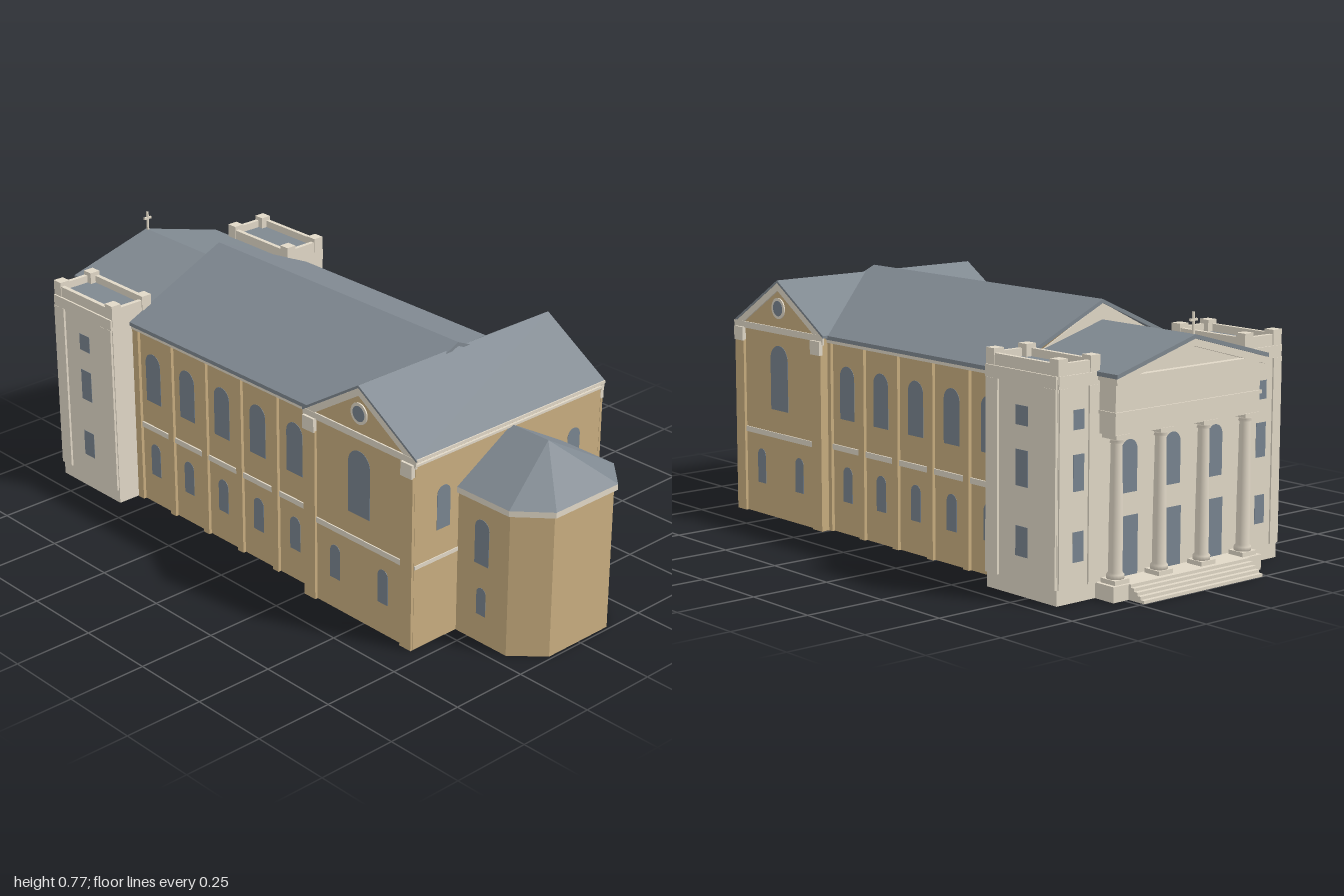
import * as THREE from 'three';
import { ConvexGeometry } from 'three/addons/geometries/ConvexGeometry.js';

export function createModel() {
  const root = new THREE.Group();
  root.name = 'church';
  // Walls are open shells without floors, so both sides show
  const mat = (name, color) => {
    const m = new THREE.MeshStandardMaterial({ color, side: THREE.DoubleSide });
    m.name = name;
    return m;
  };
  const brick = mat('ochre wall', 0xc8ad7f);
  const stone = mat('pale stone', 0xe1d8c7);
  const slate = mat('slate roof', 0x7f8890);
  const glass = mat('window glass', 0x78848f);

  const add = (name, geo, m) => {
    const mesh = new THREE.Mesh(geo, m);
    mesh.name = name;
    root.add(mesh);
    return mesh;
  };
  // Box given by its limits on each axis
  const box = (name, m, x0, x1, y0, y1, z0, z1) => {
    const g = new THREE.BoxGeometry(x1 - x0, y1 - y0, Math.abs(z1 - z0));
    g.translate((x0 + x1) / 2, (y0 + y1) / 2, (z0 + z1) / 2);
    return add(name, g, m);
  };
  // Upright walls around a plan of [x, z] corners, open above and below
  const shell = (name, m, plan, h) => {
    const v = [];
    plan.forEach(([ax, az], i) => {
      const [bx, bz] = plan[(i + 1) % plan.length];
      v.push(ax, 0, az, bx, h, bz, bx, 0, bz, ax, 0, az, ax, h, az, bx, h, bz);
    });
    const g = new THREE.BufferGeometry();
    g.setAttribute('position', new THREE.Float32BufferAttribute(v, 3));
    g.computeVertexNormals();
    return add(name, g, m);
  };
  const rect = (x0, x1, w) => [[x0, -w], [x1, -w], [x1, w], [x0, w]];
  const shapeOf = pts => new THREE.Shape(pts.map(p => new THREE.Vector2(p[0], p[1])));
  const prism = (pts, depth) => new THREE.ExtrudeGeometry(shapeOf(pts), { depth, bevelEnabled: false });
  // Roof band: two sloping strips of vertical thickness t meeting at a ridge
  const chevron = (half, eave, ridge, t, c = 0) => [
    [c - half, eave - t], [c, ridge - t], [c + half, eave - t],
    [c + half, eave], [c, ridge], [c - half, eave]];
  const alongX = (pts, x0, x1) => prism(pts, x1 - x0).rotateY(Math.PI / 2).translate(x0, 0, 0);
  const alongZ = (pts, z0, z1) => prism(pts, z1 - z0).translate(0, 0, z0);
  // Thin window plate standing just off a wall, turned by ry
  const pane = (name, x, y0, y1, z, w, ry, arched = true) => {
    const s = new THREE.Shape(), r = w / 2, h = y1 - y0;
    s.moveTo(-r, 0);
    s.lineTo(r, 0);
    if (arched) {
      s.lineTo(r, h - r);
      s.absarc(0, h - r, r, 0, Math.PI, false);
    } else {
      s.lineTo(r, h);
      s.lineTo(-r, h);
    }
    const g = new THREE.ExtrudeGeometry(s, { depth: 0.001, bevelEnabled: false, curveSegments: 8 });
    add(name, g.translate(0, 0, 0.001).rotateY(ry).translate(x, y0, z), glass);
  };
  const sides = [1, -1];
  const turn = s => (s > 0 ? 0 : Math.PI);

  // Nave
  shell('naveWalls', brick, rect(-0.574, 0.252, 0.35), 0.602);
  add('naveRoof', alongX(chevron(0.368, 0.607, 0.773, 0.012), -0.578, 0.485), slate);
  add('naveWestGable', alongX([[-0.35, 0.59], [0.35, 0.59], [0, 0.762]], -0.577, -0.572), stone);
  for (const s of sides) {
    box('naveCornice', stone, -0.574, 0.254, 0.585, 0.597, s * 0.351, s * 0.365);
    box('naveStringCourse', stone, -0.574, 0.254, 0.256, 0.273, s * 0.351, s * 0.356);
    for (let i = 0; i < 6; i++) {
      const x = -0.56 + i * 0.1625;
      box('navePilaster', brick, x - 0.013, x + 0.013, 0, 0.585, s * 0.351, s * 0.361);
    }
    for (let i = 0; i < 5; i++) {
      const x = -0.488 + i * 0.1645;
      pane('naveUpperWindow', x, 0.355, 0.52, s * 0.35, 0.07, turn(s));
      pane('naveLowerWindow', x, 0.1, 0.21, s * 0.35, 0.045, turn(s));
    }
  }

  // Transept
  const cx = 0.478;
  shell('transeptWalls', brick, rect(0.255, 0.702, 0.38), 0.602);
  add('transeptRoof', alongZ(chevron(0.234, 0.608, 0.755, 0.008, cx), -0.386, 0.386), slate);
  box('transeptEastCornice', stone, 0.703, 0.71, 0.585, 0.592, -0.383, 0.383);
  box('transeptEaveTrim', stone, 0.703, 0.714, 0.6, 0.609, -0.385, 0.385);
  for (const s of sides) {
    const zg = s > 0 ? 0.374 : -0.38, zt = s > 0 ? 0.378 : -0.385;
    add('transeptGable', alongZ([[0.255, 0.6], [0.702, 0.6], [cx, 0.74]], zg, zg + 0.006), brick);
    add('transeptRakeTrim', alongZ(chevron(0.23, 0.602, 0.747, 0.024, cx), zt, zt + 0.007), stone);
    box('transeptCornice', stone, 0.245, 0.71, 0.588, 0.608, s * 0.381, s * 0.386);
    box('transeptStringCourse', stone, 0.3, 0.66, 0.256, 0.273, s * 0.381, s * 0.385);
    for (const [a, b] of [[0.252, 0.3], [0.657, 0.702]]) {
      box('transeptPilaster', brick, a, b, 0, 0.55, s * 0.381, s * 0.39);
      box('transeptCapital', stone, a, b, 0.547, 0.59, s * 0.381, s * 0.394);
    }
    pane('transeptUpperWindow', cx, 0.345, 0.55, s * 0.38, 0.09, turn(s));
    for (const x of [cx - 0.1, cx + 0.1]) pane('transeptLowerWindow', x, 0.1, 0.21, s * 0.38, 0.042, turn(s));
    // Round gable window with its stone ring
    const disc = (r, d) => new THREE.CylinderGeometry(r, r, d, 24).rotateX(Math.PI / 2).translate(cx, 0.667, s * 0.38);
    add('roundelRing', disc(0.033, 0.008), stone);
    add('roundelGlass', disc(0.024, 0.0095), glass);
    // East wall, beside the apse
    pane('transeptEastWindow', 0.702, 0.355, 0.49, s * 0.268, 0.052, Math.PI / 2);
    box('transeptEastStringCourse', stone, 0.703, 0.706, 0.26, 0.272, s * 0.209, s * 0.38);
  }

  // Apse
  const plan = (w, x1, w2, x2) => [[0.704, -w], [x1, -w], [x2, -w2], [x2, w2], [x1, w], [0.704, w]];
  shell('apseWalls', brick, plan(0.209, 0.903, 0.122, 0.99), 0.45);
  const eaves = plan(0.216, 0.905, 0.127, 1);
  add('apseCornice', prism(eaves, 0.018).rotateX(-Math.PI / 2).translate(0, 0.448, 0), stone);
  add('apseRoof', new ConvexGeometry([
    ...eaves.map(p => new THREE.Vector3(p[0], 0.466, p[1])),
    new THREE.Vector3(0.704, 0.59, 0), new THREE.Vector3(0.845, 0.59, 0)]), slate);
  for (const s of sides) {
    pane('apseUpperWindow', 0.8, 0.252, 0.395, s * 0.209, 0.055, turn(s));
    pane('apseLowerWindow', 0.802, 0.09, 0.178, s * 0.209, 0.036, turn(s));
  }

  // West block: entrance and both towers share one shell
  const x0 = -0.866, x1 = -0.576, za = 0.285, zb = 0.434;
  shell('westWalls', stone, rect(x0, x1, zb), 0.634);
  add('entranceGable', alongX([[-0.285, 0.62], [0.285, 0.62], [0, 0.701]], -0.925, -0.578), stone);
  add('entranceRoof', alongX(chevron(0.296, 0.632, 0.714, 0.012), -0.95, -0.575), slate);
  add('pedimentRake', alongX(chevron(0.29, 0.623, 0.703, 0.022), -0.944, -0.92), stone);
  box('entablature', stone, -0.93, x0 - 0.001, 0.46, 0.612, -0.282, 0.282);
  box('architraveBand', stone, -0.935, x0 - 0.001, 0.515, 0.525, -0.286, 0.286);
  box('pedimentCornice', stone, -0.944, x0 - 0.001, 0.608, 0.624, -0.292, 0.292);
  box('crossPost', stone, -0.943, -0.937, 0.71, 0.775, -0.003, 0.003);
  box('crossArm', stone, -0.943, -0.937, 0.75, 0.757, -0.014, 0.014);

  // Platform and steps
  box('platform', stone, -0.94, x0 - 0.001, 0, 0.045, -0.292, 0.292);
  for (let i = 0; i < 5; i++)
    box('step', stone, -1 + i * 0.013, -0.935, i * 0.009, (i + 1) * 0.009, -0.235, 0.235);

  // Columns
  const profile = [[0, 0.055], [0.025, 0.055], [0.025, 0.07], [0.02, 0.076], [0.0195, 0.2],
    [0.016, 0.435], [0.02, 0.437], [0.017, 0.443], [0.024, 0.452], [0, 0.452]].map(p => new THREE.Vector2(...p));
  for (let i = 0; i < 4; i++) {
    const z = -0.252 + i * 0.168;
    add('column', new THREE.LatheGeometry(profile, 16), stone).position.set(-0.904, 0, z);
    box('columnBase', stone, -0.932, -0.876, 0.044, 0.058, z - 0.028, z + 0.028);
    box('columnCapital', stone, -0.932, -0.876, 0.45, 0.462, z - 0.028, z + 0.028);
  }
  // Doors and windows behind the columns
  for (const z of [-0.168, 0, 0.168]) {
    pane('entranceDoor', x0, 0.045, 0.215, z, 0.07, -Math.PI / 2, false);
    pane('entranceWindow', x0, 0.28, 0.43, z, 0.06, -Math.PI / 2);
  }

  // Towers
  for (const s of sides) {
    box('towerSideFrieze', stone, x0, x1, 0.597, 0.632, s * (zb + 0.001), s * 0.441);
    box('towerEndFrieze', stone, x0 - 0.005, x0 - 0.001, 0.597, 0.632, s * za, s * zb);
    box('towerRoof', slate, x0 + 0.01, x1 - 0.01, 0.63, 0.642, s * (za + 0.01), s * (zb - 0.01));
    for (const z of [za, zb - 0.014])
      box('parapetRail', stone, x0, x1, 0.632, 0.665, s * z, s * (z + 0.014));
    for (const x of [x0, x1 - 0.014])
      box('parapetRail', stone, x, x + 0.014, 0.632, 0.665, s * za, s * zb);
    for (const x of [x0 - 0.003, x1 - 0.032])
      for (const z of [za - 0.002, zb - 0.033])
        box('parapetPost', stone, x, x + 0.035, 0.632, 0.678, s * z, s * (z + 0.035));
    // Corner strips framing the side and end panels
    for (const [a, b] of [[x0, -0.818], [-0.628, x1 - 0.002]])
      box('towerSideStrip', stone, a, b, 0.045, 0.597, s * (zb + 0.001), s * 0.442);
    for (const z of [za + 0.008, zb - 0.032])
      box('towerEndStrip', stone, x0 - 0.006, x0 - 0.001, 0.045, 0.597, s * z, s * (z + 0.03));
    for (const [a, b] of [[0.48, 0.535], [0.31, 0.412], [0.113, 0.198]]) {
      pane('towerSideWindow', -0.723, a, b, s * zb, 0.05, turn(s), false);
      pane('towerEndWindow', x0, a, b, s * 0.358, 0.04, -Math.PI / 2, false);
    }
  }
  return root;
}
